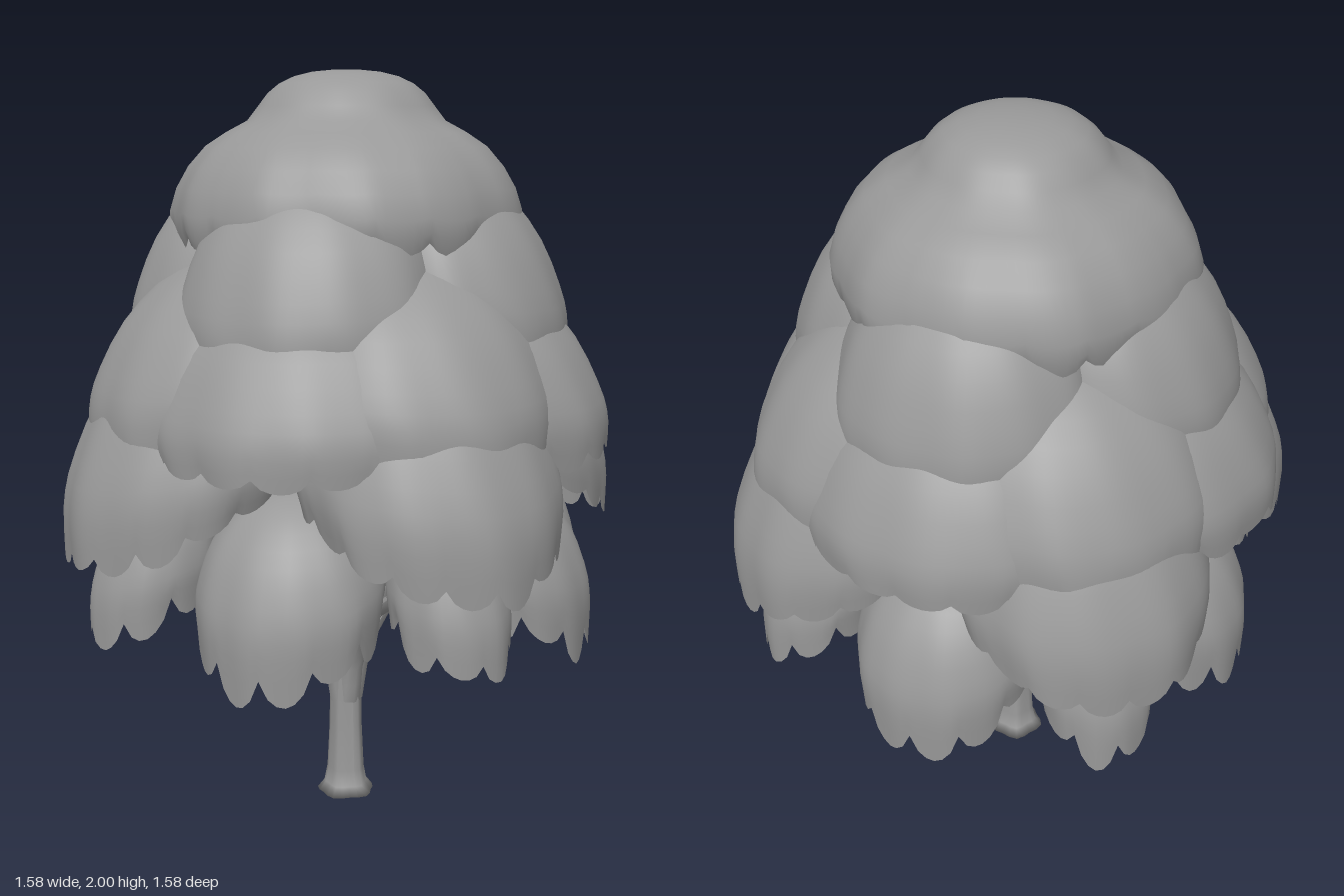
import * as THREE from 'three';

const grey = new THREE.MeshStandardMaterial({ color: 0x999999 });
grey.name = 'matte grey';
const foliageGrey = grey.clone();
foliageGrey.name = 'foliage grey';
foliageGrey.side = THREE.DoubleSide;

// Small seeded generator for the ragged hems
function seeded(seed) {
  let s = seed;
  return () => (s = (s * 16807) % 2147483647) / 2147483647;
}

const curveOf = (pts) => new THREE.SplineCurve(pts.map(([r, y]) => new THREE.Vector2(r, y)));
const domeProfile = curveOf([[0, 1], [0.32, 0.96], [0.62, 0.82], [0.86, 0.57], [0.98, 0.28], [1, 0.12], [0.96, 0]]);
const crownProfile = curveOf([[0, 1], [0.17, 0.992], [0.34, 0.94], [0.46, 0.84], [0.56, 0.69], [0.77, 0.56], [0.93, 0.35], [1, 0.12], [0.97, 0]]);

// Open umbrella of leaves with a scalloped hem; local +x points outward from the trunk.
// The apex leans back to the trunk, and the hem drops on the outer side and lifts on the inner side.
function leafClump({ dist, lean, out, side, top, h, droop, teeth, hang, seed, profile = domeProfile }) {
  const rows = 14, cols = teeth * 6;
  const rand = seeded(seed * 7919 + 13);
  const toothLength = Array.from({ length: teeth }, () => hang * (0.35 + 0.65 * rand()));
  const phase = rand() * 6.28;
  const pos = [], index = [];
  for (let i = 0; i <= rows; i++) {
    const v = i / rows;
    const p = profile.getPoint(v);
    for (let j = 0; j < cols; j++) {
      const a = (j / cols) * Math.PI * 2;
      const tooth = toothLength[Math.floor(j / 6)] * Math.pow(Math.sin((((j % 6) + 0.01) / 6) * Math.PI), 0.6);
      const lump = 1 + v * (0.012 * Math.sin(6 * a + phase) + 0.01 * Math.sin(11 * a + 2 * phase + 4 * v));
      const fall = droop * Math.cos(a) * v ** 2 + tooth * v ** 8;
      pos.push(
        dist - lean * p.y + out * p.x * lump * Math.cos(a),
        top - h * (1 - p.y) - fall,
        side * p.x * lump * Math.sin(a),
      );
      if (i < rows) {
        const n = (j + 1) % cols, c = i * cols, d = c + cols;
        index.push(c + j, c + n, d + j, c + n, d + n, d + j);
      }
    }
  }
  const g = new THREE.BufferGeometry();
  g.setAttribute('position', new THREE.Float32BufferAttribute(pos, 3));
  g.setIndex(index);
  g.computeVertexNormals();
  // The apex ring is a single point, so it shares one upright normal
  for (let j = 0; j < cols; j++) g.attributes.normal.setXYZ(j, 0, 1, 0);
  return g;
}

// Tube that narrows from r0 to r1 along a smooth path
function limb(points, r0, r1, sides = 8) {
  const path = new THREE.CatmullRomCurve3(points.map((p) => new THREE.Vector3(...p)));
  const steps = 14;
  const g = new THREE.TubeGeometry(path, steps, 1, sides, false);
  const pos = g.attributes.position, v = new THREE.Vector3();
  for (let i = 0; i < pos.count; i++) {
    const t = Math.floor(i / (sides + 1)) / steps;
    const centre = path.getPointAt(t);
    v.fromBufferAttribute(pos, i).sub(centre).multiplyScalar(r0 + (r1 - r0) * t).add(centre);
    pos.setXYZ(i, v.x, v.y, v.z);
  }
  g.computeVertexNormals();
  return g;
}

export function createModel() {
  const tree = new THREE.Group();
  tree.name = 'tree';
  const add = (parent, name, geometry, material, turn = 0) => {
    const mesh = new THREE.Mesh(geometry, material);
    mesh.name = name;
    mesh.rotation.y = turn;
    parent.add(mesh);
  };

  // Trunk with fluted root flare
  const wood = new THREE.Group();
  wood.name = 'woodwork';
  tree.add(wood);
  const trunkShape = [[0, 0], [0.076, 0], [0.058, 0.025], [0.05, 0.07], [0.044, 0.2], [0.043, 0.34], [0.045, 0.42], [0.03, 0.48], [0, 0.5]];
  const trunk = new THREE.LatheGeometry(trunkShape.map(([r, y]) => new THREE.Vector2(r, y)), 20);
  const tp = trunk.attributes.position;
  for (let i = 0; i < tp.count; i++) {
    const x = tp.getX(i), z = tp.getZ(i);
    const flute = 1 + 0.08 * Math.cos(5 * Math.atan2(z, x));
    tp.setXYZ(i, x * flute, tp.getY(i), z * flute);
  }
  trunk.computeVertexNormals();
  add(wood, 'trunk', trunk, grey);
  add(wood, 'leader', limb([[0, 0.4, 0], [0.01, 0.8, 0.01], [-0.01, 1.2, 0], [0, 1.6, 0]], 0.035, 0.008), grey);

  // Limbs and twigs, repeated in each quarter
  for (let q = 0; q < 4; q++) {
    const turn = (q * Math.PI) / 2, diagonal = turn + Math.PI / 4;
    add(wood, 'lowLimb', limb([[0.015, 0.28, 0], [0.05, 0.42, 0], [0.14, 0.55, 0], [0.27, 0.63, 0], [0.46, 0.8, 0]], 0.034, 0.01), grey, turn);
    add(wood, 'highLimb', limb([[0.01, 0.34, 0], [0.07, 0.53, 0], [0.2, 0.72, 0], [0.4, 0.9, 0]], 0.03, 0.009), grey, diagonal);
    add(wood, 'upperBranch', limb([[0, 0.85, 0], [0.12, 1.02, 0], [0.36, 1.22, 0]], 0.02, 0.006), grey, turn);
    for (const s of [-1, 1]) {
      add(wood, 'lowTwig', limb([[0.16, 0.57, 0], [0.25, 0.62, s * 0.06], [0.4, 0.7, s * 0.16]], 0.013, 0.004, 6), grey, turn);
      add(wood, 'highTwig', limb([[0.12, 0.61, 0], [0.2, 0.76, s * 0.05], [0.34, 0.92, s * 0.14]], 0.013, 0.004, 6), grey, diagonal);
    }
  }

  // Crown on top
  const canopy = new THREE.Group();
  canopy.name = 'canopy';
  tree.add(canopy);
  add(canopy, 'crown', leafClump({ dist: 0, lean: 0, out: 0.465, side: 0.465, top: 2, h: 0.42, droop: 0, teeth: 20, hang: 0.04, seed: 3, profile: crownProfile }), foliageGrey);

  // Tiers of four clumps, alternating between the diagonals and the axes
  const tiers = [
    { name: 'shoulderClump', diag: true, dist: 0.33, lean: 0.08, out: 0.275, side: 0.33, top: 1.76, h: 0.43, droop: 0.05, teeth: 14, hang: 0.04 },
    { name: 'upperClump', diag: false, dist: 0.4, lean: 0.12, out: 0.32, side: 0.36, top: 1.55, h: 0.41, droop: 0.07, teeth: 15, hang: 0.05 },
    { name: 'middleClump', diag: true, dist: 0.41, lean: 0.1, out: 0.31, side: 0.38, top: 1.5, h: 0.42, droop: 0.03, teeth: 16, hang: 0.05 },
    { name: 'wideClump', diag: false, dist: 0.465, lean: 0.12, out: 0.335, side: 0.335, top: 1.4, h: 0.47, droop: 0.14, teeth: 16, hang: 0.06 },
    { name: 'lowClump', diag: true, dist: 0.45, lean: 0.05, out: 0.23, side: 0.24, top: 0.96, h: 0.28, droop: 0.13, teeth: 11, hang: 0.1 },
    { name: 'hangingClump', diag: false, dist: 0.57, lean: 0.06, out: 0.17, side: 0.15, top: 0.95, h: 0.27, droop: 0.09, teeth: 8, hang: 0.09 },
  ];
  tiers.forEach((tier, t) => {
    for (let q = 0; q < 4; q++) {
      const turn = (q * Math.PI) / 2 + (tier.diag ? Math.PI / 4 : 0);
      add(canopy, tier.name, leafClump({ ...tier, seed: 11 + t * 4 + q }), foliageGrey, turn);
    }
  });
  return tree;
}
